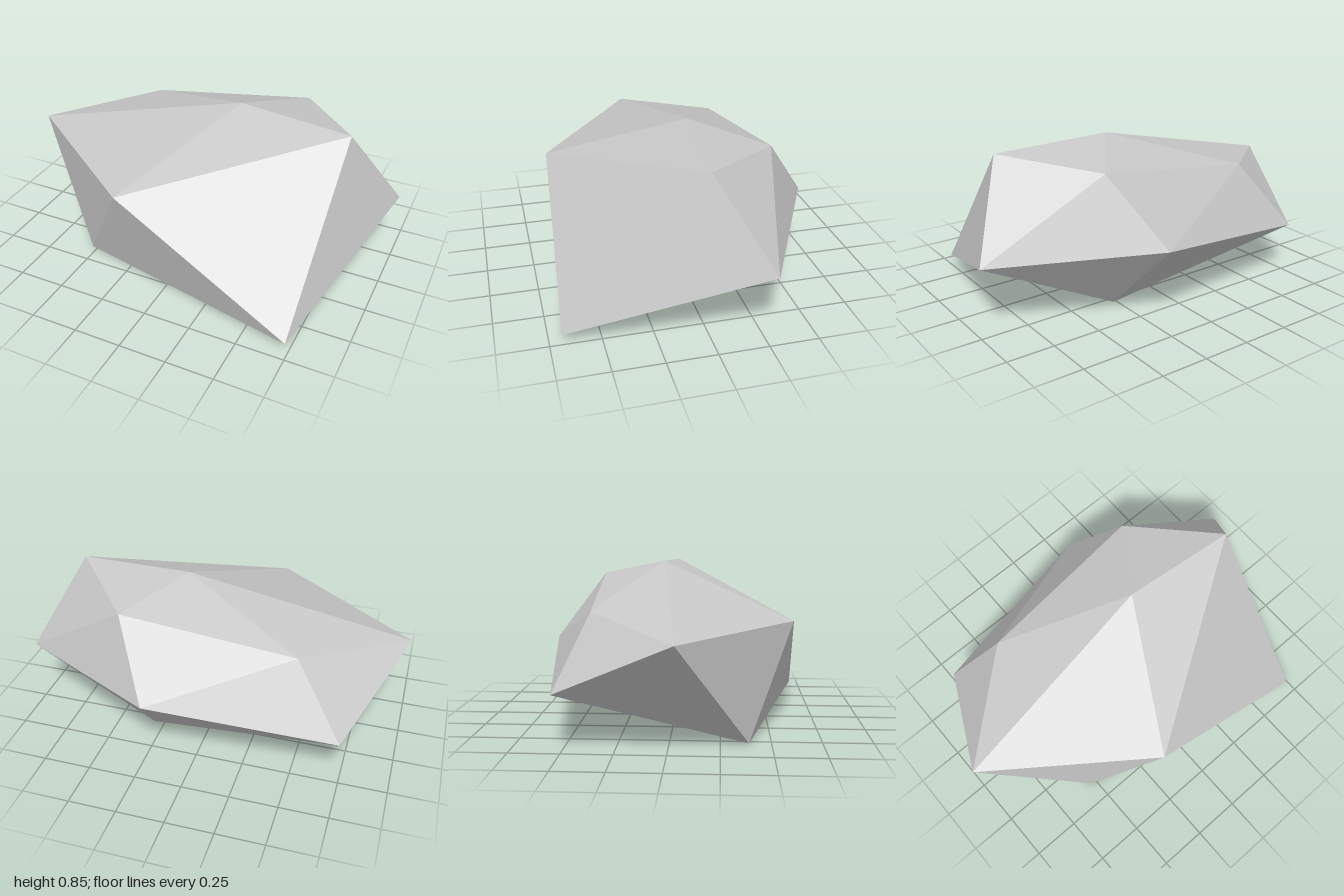
import * as THREE from 'three';

// Low-poly boulder: an icosahedron-like hull with uneven corners.
export function createModel() {
  const group = new THREE.Group();
  group.name = 'boulder';

  const stone = new THREE.MeshStandardMaterial({ color: 0xc8c8c8 });
  stone.name = 'light grey stone';

  // Crown, upper ring and lower ring run in matching order, then the base point
  const crown = [0.16, 0.845, -0.07];
  const upper = [
    [-1, 0.56, 0.05], [-0.22, 0.563, 0.623], [0.77, 0.82, -0.018],
    [0.412, 0.76, -0.435], [-0.49, 0.638, -0.387],
  ];
  const lower = [
    [-0.53, 0, 0.39], [0.73, 0.04, 0.688], [1, 0.37, -0.277],
    [0.22, 0.405, -0.688], [-0.745, 0.28, -0.54],
  ];
  const base = [0.295, 0.025, -0.33];

  // Each of five sectors has a crown facet, two side facets and a base facet
  const corners = [];
  for (let i = 0; i < 5; i++) {
    const j = (i + 1) % 5;
    corners.push(
      crown, upper[i], upper[j],
      upper[i], lower[i], upper[j],
      upper[j], lower[i], lower[j],
      base, lower[j], lower[i],
    );
  }

  // Unshared corners give every facet its own flat normal
  const geometry = new THREE.BufferGeometry();
  geometry.setAttribute('position', new THREE.Float32BufferAttribute(corners.flat(), 3));
  geometry.computeVertexNormals();

  const rock = new THREE.Mesh(geometry, stone);
  rock.name = 'rock';
  group.add(rock);
  return group;
}
